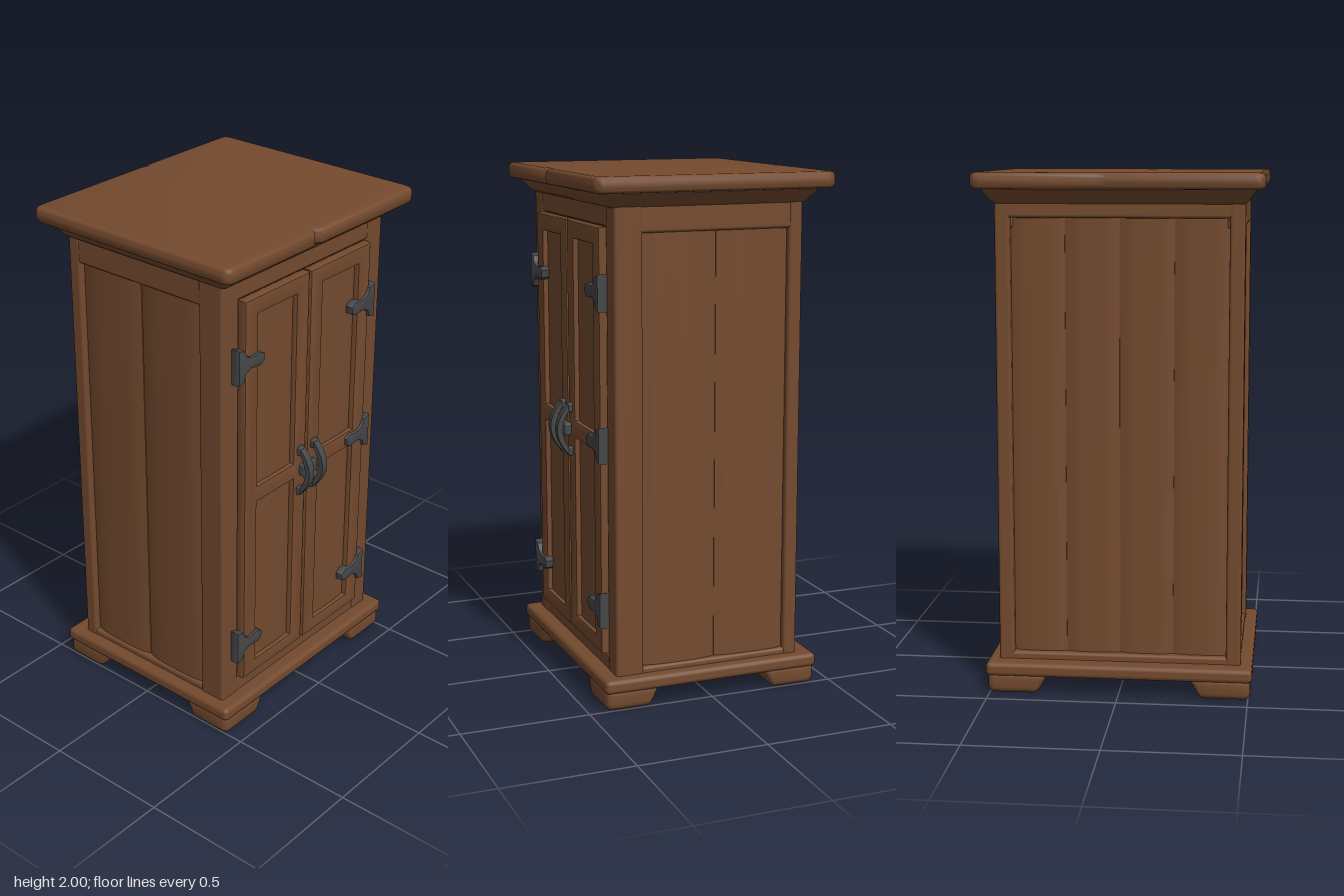
import * as THREE from 'three';
import { toCreasedNormals } from 'three/addons/utils/BufferGeometryUtils.js';
import { RoundedBoxGeometry } from 'three/addons/geometries/RoundedBoxGeometry.js';

const material = (name, color) => {
  const m = new THREE.MeshStandardMaterial({ color });
  m.name = name;
  return m;
};

export function createModel() {
  const wood = material('brown wood', 0x744a2e);
  const shade = material('dark gap', 0x3a2517);
  const iron = material('dark iron', 0x454648);
  const model = new THREE.Group();
  model.name = 'cupboard';

  const add = (name, geometry, mat = wood, parent = model) => {
    const mesh = new THREE.Mesh(geometry, mat);
    mesh.name = name;
    parent.add(mesh);
    return mesh;
  };

  // Softly rounded block given by its extents on each axis
  const block = (name, [x0, x1], [y0, y1], [z0, z1], r = 0.012, mat = wood) => {
    const g = new RoundedBoxGeometry(x1 - x0, y1 - y0, z1 - z0, 2, r);
    g.translate((x0 + x1) / 2, (y0 + y1) / 2, (z0 + z1) / 2);
    return add(name, g, mat);
  };

  // Rearranges every vertex of a geometry by a rule
  const reshape = (g, rule) => {
    const p = g.attributes.position;
    const v = new THREE.Vector3();
    for (let i = 0; i < p.count; i++) {
      rule(v.fromBufferAttribute(p, i));
      p.setXYZ(i, v.x, v.y, v.z);
    }
    g.computeVertexNormals();
    return toCreasedNormals(g, 0.6);
  };

  // Extruded outline with a rounded rim that stays inside the outline
  const plate = (shape, depth, bevel, segments = 2) => toCreasedNormals(
    new THREE.ExtrudeGeometry(shape, {
      depth: depth - 2 * bevel, bevelEnabled: true, bevelThickness: bevel, bevelSize: bevel,
      bevelOffset: -bevel, bevelSegments: segments, curveSegments: 5,
    }).translate(0, 0, bevel), 0.7);

  const polygon = (points) => new THREE.Shape(points.map(([x, y]) => new THREE.Vector2(x, y)));
  const rectangle = (x0, x1, y0, y1) => polygon([[x0, y0], [x1, y0], [x1, y1], [x0, y1]]);

  // Plank whose face (+z) bulges slightly in the middle
  const plank = (w, h, t, dome) => reshape(new THREE.BoxGeometry(w, h, t, 8, 1, 1), (v) => {
    if (v.z > 0) v.z += dome * (1 - (2 * v.x / w) ** 4) - dome;
  });

  // Carcass core with posts and rails
  block('carcassCore', [-0.44, 0.44], [0.1, 1.92], [-0.33, 0.355], 0.005);
  for (const s of [-1, 1]) {
    const span = (a, b) => (s > 0 ? [a, b] : [-b, -a]);
    block('frontPost', span(0.375, 0.47), [0.1, 1.91], [0.27, 0.38]);
    block('backPost', span(0.412, 0.47), [0.1, 1.91], [-0.37, -0.315]);
    block('sideTopRail', span(0.4, 0.467), [1.79, 1.91], [-0.34, 0.3]);
    block('sideBottomRail', span(0.4, 0.467), [0.1, 0.145], [-0.34, 0.3]);
  }
  block('frontTopRail', [-0.4, 0.4], [1.81, 1.91], [0.3, 0.377]);
  block('frontBottomRail', [-0.4, 0.4], [0.1, 0.182], [0.3, 0.377]);
  block('backTopRail', [-0.43, 0.43], [1.83, 1.91], [-0.368, -0.3]);
  block('backBottomRail', [-0.43, 0.43], [0.1, 0.15], [-0.368, -0.3]);

  // Plank panels on the sides and back
  for (const s of [-1, 1]) {
    for (const z of [0.121, -0.174]) {
      const side = add('sidePlank', plank(0.292, 1.68, 0.03, 0.014));
      side.position.set(s * 0.442, 0.965, z);
      side.rotation.y = s * Math.PI / 2;
    }
  }
  for (let i = 0; i < 4; i++) {
    const back = add('backPlank', plank(0.205, 1.72, 0.03, 0.012));
    back.position.set(-0.3105 + i * 0.207, 0.99, -0.33);
    back.rotation.y = Math.PI;
  }

  // Pair of framed doors with two sunken panels each
  add('doorGap', new THREE.BoxGeometry(0.752, 1.63, 0.008), shade).position.set(0, 0.996, 0.357);
  for (const s of [-1, 1]) {
    const door = new THREE.Group();
    door.name = s > 0 ? 'leftDoor' : 'rightDoor';
    model.add(door);
    const span = (a, b) => (s > 0 ? [a, b] : [-b, -a]);
    const outline = rectangle(...span(0.005, 0.37), 0.185, 1.808);
    for (const [y0, y1] of [[0.245, 0.965], [1.035, 1.74]]) {
      outline.holes.push(rectangle(...span(0.078, 0.296), y0, y1));
      const panel = add('doorPanel', plank(0.23, y1 - y0 + 0.02, 0.025, 0.006), wood, door);
      panel.position.set(s * 0.187, (y0 + y1) / 2, 0.3765);
    }
    add('doorFrame', plate(outline, 0.046, 0.011), wood, door).position.z = 0.36;
  }

  // Strap hinges: flared plate, neck and rounded tip
  const hingeProfile = [[0, -0.07], [0.032, -0.062], [0.042, -0.034], [0.07, -0.022],
    [0.12, -0.028], [0.143, -0.016], [0.146, 0.012], [0.125, 0.026], [0.07, 0.022],
    [0.045, 0.036], [0.034, 0.06], [0, 0.07]];
  for (const [s, edge, y] of [[1, 0.39, 1.57], [1, 0.39, 1.0], [1, 0.39, 0.36],
    [-1, 0.42, 1.57], [-1, 0.42, 0.36]]) {
    const hinge = add('hinge', plate(polygon(hingeProfile.map(([u, v]) => [s * (edge - u), v])),
      0.042, 0.007), iron);
    hinge.position.set(0, y, 0.377);
  }

  // Bowed door handles with a cross latch
  for (const x of [-0.044, 0.038]) {
    const bow = reshape(new THREE.BoxGeometry(0.03, 0.205, 0.022, 1, 16, 1), (v) => {
      v.z += 0.05 * (1 - (v.y / 0.1025) ** 2);
    });
    add('handle', bow, iron).position.set(x, 0.997, 0.406);
    for (const y of [0.91, 1.084]) block('handleFoot', [x - 0.017, x + 0.017],
      [y - 0.018, y + 0.018], [0.395, 0.422], 0.006, iron);
  }
  block('latch', [-0.045, 0.04], [0.97, 1.02], [0.4, 0.432], 0.008, iron);

  // Cornice flaring out under the top
  add('cornice', reshape(new RoundedBoxGeometry(1.02, 0.065, 0.85, 3, 0.012), (v) => {
    const t = THREE.MathUtils.clamp((v.y + 0.0325) / 0.045, 0, 1);
    v.x *= 0.92 + 0.08 * t;
    v.z *= 0.9 + 0.1 * t;
  })).position.set(0, 1.915, 0.007);

  // Top slab with rounded corners and small chips in its edges
  const X = 0.545, Z = 0.475, R = 0.04;
  const top = new THREE.Shape();
  top.moveTo(-X + R, -Z);
  for (const [x, y] of [[-0.075, -Z], [-0.052, -Z + 0.018], [-0.025, -Z], [X - R, -Z]]) top.lineTo(x, y);
  top.quadraticCurveTo(X, -Z, X, -Z + R);
  top.lineTo(X, Z - R);
  top.quadraticCurveTo(X, Z, X - R, Z);
  for (const [x, y] of [[0.08, Z], [0.06, Z - 0.008], [0.03, Z - 0.002], [-X + R, Z - 0.002]]) top.lineTo(x, y);
  top.quadraticCurveTo(-X, Z, -X, Z - R);
  top.lineTo(-X, -Z + R);
  top.quadraticCurveTo(-X, -Z, -X + R, -Z);
  const slab = add('topSlab', plate(top, 0.062, 0.02, 4));
  slab.rotation.x = -Math.PI / 2;
  slab.position.y = 1.938;

  // Plinth on four tapered feet
  block('plinth', [-0.515, 0.515], [0.068, 0.122], [-0.438, 0.438], 0.018);
  for (const sx of [-1, 1]) {
    for (const sz of [-1, 1]) {
      const foot = reshape(new RoundedBoxGeometry(0.24, 0.085, 0.22, 3, 0.025), (v) => {
        const t = THREE.MathUtils.clamp(0.5 - v.y / 0.085, 0, 1);
        if (v.x * sx < 0) v.x *= 1 - 0.4 * t;
        if (v.z * sz < 0) v.z *= 1 - 0.4 * t;
      });
      add('foot', foot).position.set(sx * 0.388, 0.0425, sz * 0.322);
    }
  }
  return model;
}
